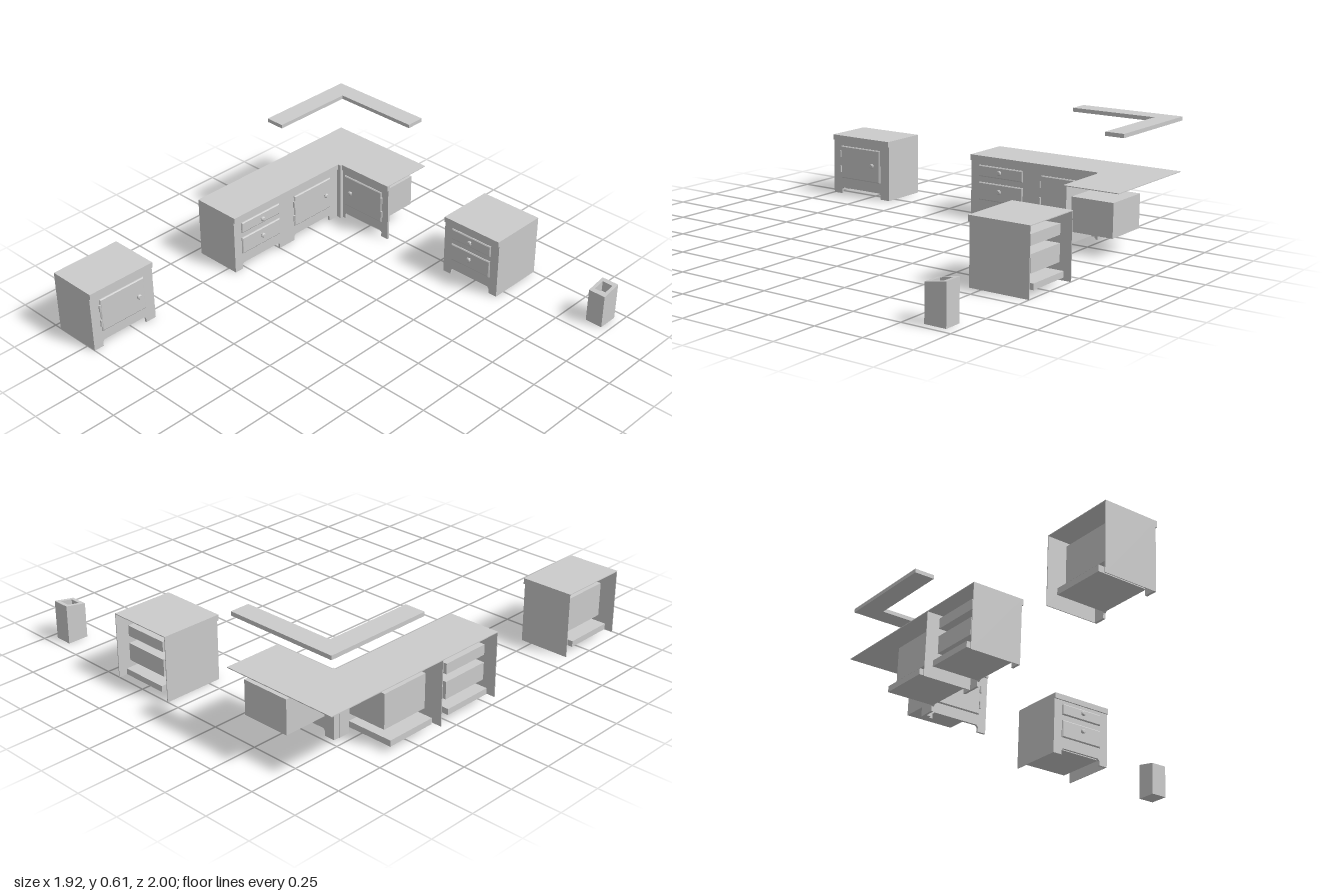
import * as THREE from 'three';

const mat = new THREE.MeshStandardMaterial({ color: 0xcccccc, flatShading: true, side: THREE.DoubleSide });
const H = 0.33, LIP = 0.03, T = 0.004;

function add(parent, name, geo) {
  const m = new THREE.Mesh(geo, mat);
  m.name = name;
  parent.add(m);
  return m;
}

// box given by its minimum and maximum corners
function box(parent, name, x0, x1, y0, y1, z0, z1) {
  const m = add(parent, name, new THREE.BoxGeometry(x1 - x0, y1 - y0, z1 - z0));
  m.position.set((x0 + x1) / 2, (y0 + y1) / 2, (z0 + z1) / 2);
  return m;
}

function polygon(points) {
  return new THREE.Shape(points.map(([x, y]) => new THREE.Vector2(x, y)));
}

// flat slab from a plan outline of [x, z] points
function slab(parent, name, plan, y, thickness) {
  const geo = new THREE.ExtrudeGeometry(polygon(plan.map(([x, z]) => [x, -z])), { depth: thickness, bevelEnabled: false });
  geo.rotateX(-Math.PI / 2).translate(0, y, 0);
  return add(parent, name, geo);
}

// raised panel with a sloping border
function raisedPanel(parent, name, x0, x1, y0, y1) {
  const b = 0.005;
  const shape = polygon([[x0 + b, y0 + b], [x1 - b, y0 + b], [x1 - b, y1 - b], [x0 + b, y1 - b]]);
  add(parent, name, new THREE.ExtrudeGeometry(shape, {
    depth: 0.004, bevelThickness: 0.004, bevelSize: b, bevelSegments: 1,
  }));
}

function knob(parent, x, y) {
  const profile = [[0.005, 0], [0.005, 0.01], [0.013, 0.014], [0.013, 0.019], [0.008, 0.023], [0, 0.023]];
  const geo = new THREE.LatheGeometry(profile.map(([r, h]) => new THREE.Vector2(r, h)), 12);
  geo.rotateX(Math.PI / 2);
  add(parent, 'knob', geo).position.set(x, y, 0.004);
}

function drawers(g, x0, x1, depth) {
  for (const [y0, y1, ky] of [[0.22, 0.28, 0.253], [0.095, 0.19, 0.153]]) {
    raisedPanel(g, 'drawerFront', x0, x1, y0, y1);
    box(g, 'drawerBox', x0 + 0.004, x1 - 0.004, y0 + 0.004, y1 - 0.004, -depth, 0);
    knob(g, (x0 + x1) / 2, ky);
  }
}

function door(g, x0, x1, depth, hingeRight) {
  raisedPanel(g, 'door', x0, x1, 0.09, 0.272);
  box(g, 'doorCompartment', x0 + 0.004, x1 - 0.004, 0.095, 0.268, -depth, 0);
  knob(g, hingeRight ? x0 + 0.05 : x1 - 0.045, 0.185);
  for (const y of [0.14, 0.225]) {
    const hinge = add(g, 'hinge', new THREE.CylinderGeometry(0.006, 0.006, 0.036, 8));
    hinge.position.set(hingeRight ? x1 + 0.003 : x0 - 0.003, y, 0.006);
  }
}

// cabinet facing +z: front plane at z = 0, left end at x = 0, back open
function cabinet(name, w, depth, units, sides) {
  const g = new THREE.Group();
  g.name = name;
  // face with a chamfered foot recess below each unit
  const outline = [[0, 0]];
  for (const { x0, x1 } of units) {
    outline.push([x0, 0], [x0, 0.025], [x0 + 0.01, 0.035], [x1 - 0.01, 0.035], [x1, 0.025], [x1, 0]);
  }
  outline.push([w, 0], [w, H - LIP], [0, H - LIP]);
  const face = new THREE.ExtrudeGeometry(polygon(outline), { depth: 0.012, bevelEnabled: false });
  add(g, 'frontFace', face).position.z = -0.012;
  box(g, 'counterEdge', 0, w, H - LIP, H, -0.012, 0.008);
  for (const u of units) {
    if (u.kind === 'drawers') drawers(g, u.x0, u.x1, depth - 0.03);
    else door(g, u.x0, u.x1, depth - 0.05, u.hingeRight);
    if (u.floor !== false) box(g, 'floorBoard', u.x0, u.x1, 0.03, 0.06, -depth + 0.01, -0.012);
  }
  for (const x of sides) box(g, 'sidePanel', x, x + T, 0, H, -depth, 0);
  return g;
}

export function createModel() {
  const model = new THREE.Group();
  model.name = 'kitchenFurniture';

  // free-standing drawer cabinet
  const single = cabinet('drawerCabinet', 0.35, 0.312, [{ kind: 'drawers', x0: 0.05, x1: 0.3 }], [0, 0.35 - T]);
  box(single, 'counterTop', 0, 0.35, H - T, H, -0.312, 0.008);
  single.position.set(0.07, 0, -0.688);
  model.add(single);

  // free-standing door cabinet, turned to face +x
  const turned = cabinet('doorCabinet', 0.385, 0.265, [{ kind: 'door', x0: 0.055, x1: 0.325 }], [0, 0.385 - T]);
  box(turned, 'counterTop', 0, 0.385, H - T, H, -0.265, 0.008);
  turned.rotation.y = Math.PI / 2;
  turned.position.set(-0.695, 0, 1);
  model.add(turned);

  // corner unit: long wing facing +x, short wing facing +z
  const corner = new THREE.Group();
  corner.name = 'cornerUnit';
  model.add(corner);
  const longWing = cabinet('longWing', 0.76, 0.265, [
    { kind: 'drawers', x0: 0.05, x1: 0.32 },
    { kind: 'door', x0: 0.43, x1: 0.7 },
  ], [0, 0.375]);
  longWing.rotation.y = Math.PI / 2;
  longWing.position.set(-0.695, 0, 0.07);
  const shortWing = cabinet('shortWing', 0.33, 0.29,
    [{ kind: 'door', x0: 0.02, x1: 0.285, hingeRight: true, floor: false }], []);
  shortWing.position.set(-0.67, 0, -0.708);
  corner.add(longWing, shortWing);
  box(corner, 'cornerPost', -0.705, -0.67, 0, H, -0.72, -0.69);
  slab(corner, 'counterTop',
    [[-0.96, -1], [-0.34, -1], [-0.34, -0.7], [-0.687, -0.7], [-0.687, 0.07], [-0.96, 0.07]], H - T, T);

  // wall shelf above the corner
  slab(model, 'wallShelf',
    [[-0.96, -1], [-0.375, -1], [-0.375, -0.9], [-0.855, -0.9], [-0.855, -0.44], [-0.96, -0.44]], 0.585, 0.02);

  // bin with a hollow, sloping top
  const bin = new THREE.Group();
  bin.name = 'bin';
  const rect = (x, z) => [[-x, -z], [x, -z], [x, z], [-x, z]];
  const section = polygon(rect(0.0465, 0.055));
  section.holes.push(polygon(rect(0.029, 0.032)));
  const shell = new THREE.ExtrudeGeometry(section, { depth: 1, bevelEnabled: false });
  shell.rotateX(-Math.PI / 2);
  const p = shell.attributes.position;
  for (let i = 0; i < p.count; i++) {
    if (p.getY(i) > 0.5) p.setY(i, 0.19 - p.getZ(i) * 0.18);
  }
  shell.computeVertexNormals();
  add(bin, 'binShell', shell);
  box(bin, 'binFloor', -0.03, 0.03, 0, 0.14, -0.033, 0.033);
  bin.position.set(0.914, 0, -0.895);
  model.add(bin);

  return model;
}
